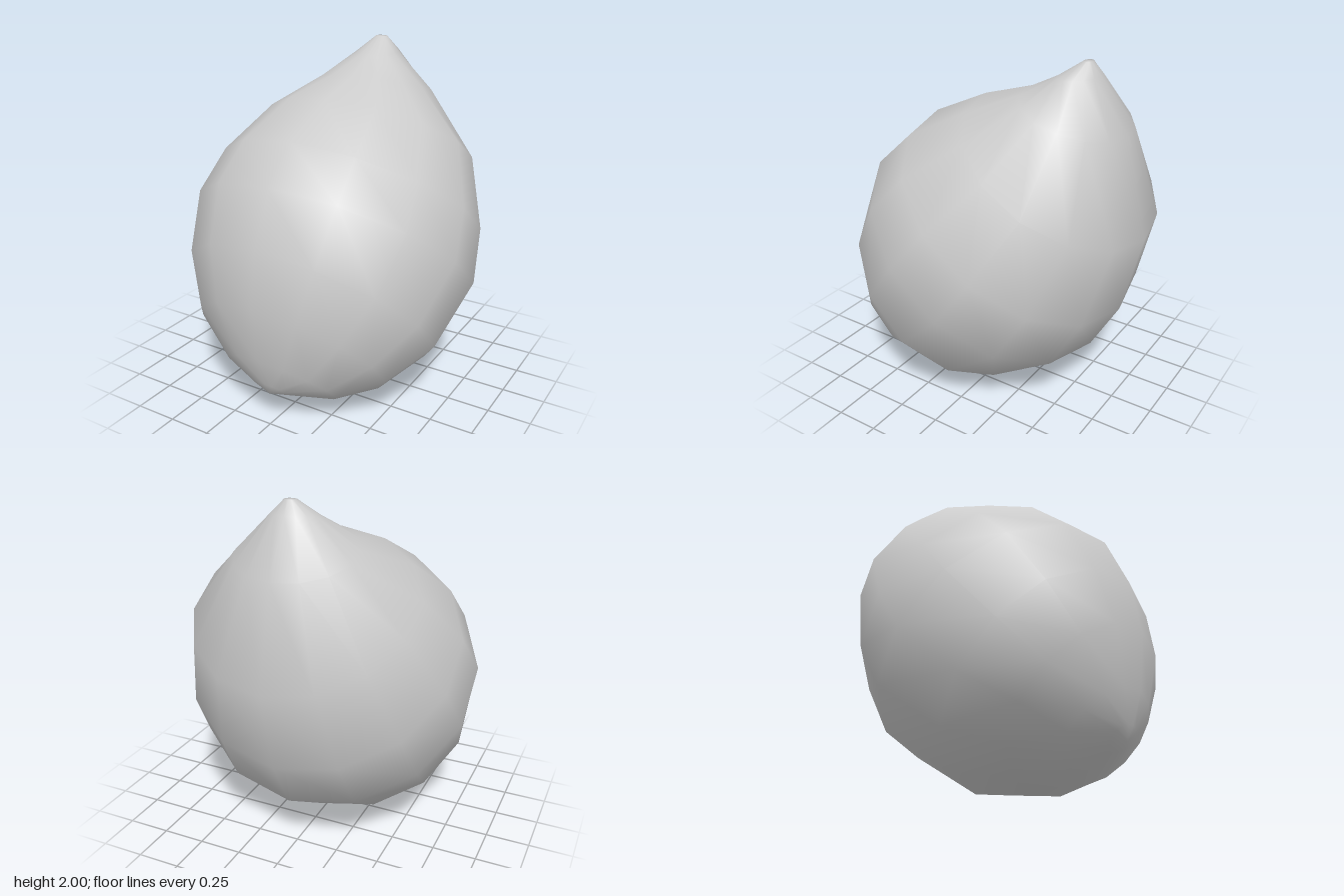
import * as THREE from 'three';

const SIDES = 14;

// Rings from the tip to the blunt end: front edge z, y, back edge z, y, half width
const RINGS = [
  [-0.47, 2.0, -0.52, 2.0, 0.035],
  [-0.32, 1.9, -0.57, 1.93, 0.13],
  [-0.14, 1.81, -0.74, 1.64, 0.34],
  [0.14, 1.73, -0.875, 1.09, 0.64],
  [0.49, 1.57, -0.76, 0.62, 0.8],
  [0.7, 1.38, -0.59, 0.32, 0.85],
  [0.83, 1.08, -0.17, 0.05, 0.76],
  [0.88, 0.77, 0.19, 0.0, 0.58],
  [0.845, 0.45, 0.42, 0.03, 0.34],
  [0.79, 0.28, 0.67, 0.16, 0.1],
];

// Closed skin over tilted elliptical rings, with a pole at each end
function loftDrop() {
  const pos = [];
  const index = [];
  for (const [fz, fy, bz, by, w] of RINGS) {
    for (let j = 0; j < SIDES; j++) {
      const a = (j / SIDES) * Math.PI * 2;
      const t = (1 + Math.cos(a)) / 2;
      pos.push(w * Math.sin(a), by + (fy - by) * t, bz + (fz - bz) * t);
    }
  }
  const tip = RINGS.length * SIDES;
  const end = tip + 1;
  pos.push(0, 2.0, -0.495, 0, 0.2, 0.75);

  const last = (RINGS.length - 1) * SIDES;
  for (let j = 0; j < SIDES; j++) {
    const k = (j + 1) % SIDES;
    index.push(tip, j, k, end, last + k, last + j);
    for (let r = 0; r < last; r += SIDES) {
      index.push(r + j, r + SIDES + j, r + SIDES + k);
      index.push(r + j, r + SIDES + k, r + k);
    }
  }
  const geo = new THREE.BufferGeometry();
  geo.setAttribute('position', new THREE.Float32BufferAttribute(pos, 3));
  geo.setIndex(index);
  geo.computeVertexNormals();
  return geo;
}

export function createModel() {
  const group = new THREE.Group();
  group.name = 'drop';
  const body = new THREE.Mesh(loftDrop(), new THREE.MeshStandardMaterial({ color: 0xcccccc }));
  body.name = 'dropBody';
  group.add(body);
  return group;
}
